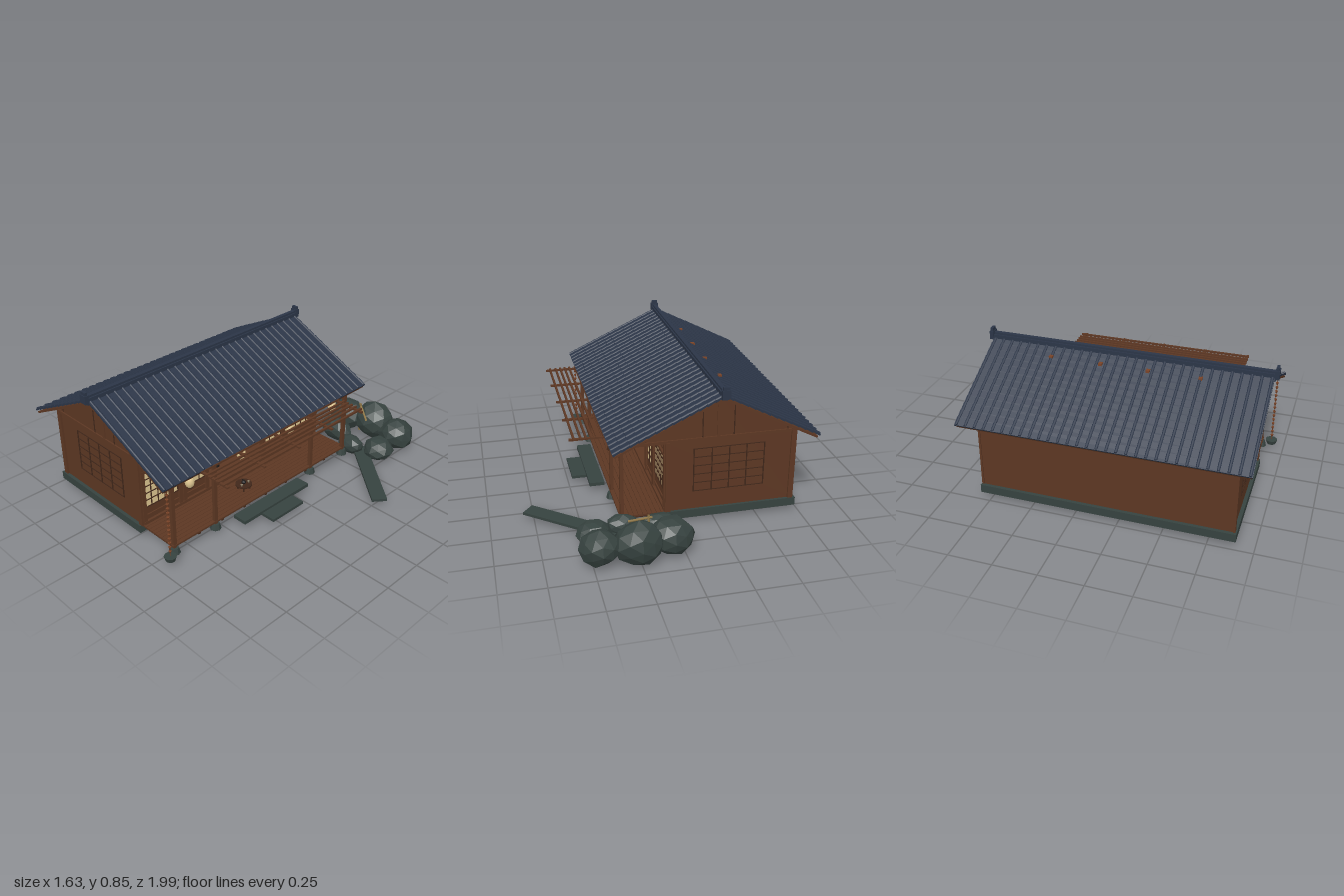
import * as THREE from 'three';
import { mergeGeometries } from 'three/addons/utils/BufferGeometryUtils.js';

const mat = (name, color, opts = {}) => Object.assign(new THREE.MeshStandardMaterial({ color, ...opts }), { name });

export function createModel() {
  const root = new THREE.Group();
  root.name = 'teaHouse';
  const wood = mat('wood', 0x5c3723), darkWood = mat('darkWood', 0x40271a), tile = mat('roofTile', 0x2b3547),
    stone = mat('stone', 0x36423f, { flatShading: true }), paper = mat('paper', 0xe0c791),
    plaster = mat('plaster', 0x8a7f68), cloth = mat('cloth', 0x2f4462), iron = mat('iron', 0x1d1b1a),
    bamboo = mat('bamboo', 0x8f7748), accent = mat('accent', 0x7a4428);

  let seed = 7;
  const rand = () => (seed = (seed * 16807) % 2147483647) / 2147483647;
  const add = (name, geo, m) => {
    const mesh = new THREE.Mesh(geo, m);
    mesh.name = name;
    root.add(mesh);
    return mesh;
  };
  const boxGeo = ([x0, x1, y0, y1, z0, z1]) =>
    new THREE.BoxGeometry(x1 - x0, y1 - y0, z1 - z0).translate((x0 + x1) / 2, (y0 + y1) / 2, (z0 + z1) / 2);
  const boxes = (name, m, list) => add(name, mergeGeometries(list.map(boxGeo)), m);
  const range = (n, f) => Array.from({ length: n }, (_, i) => f(i));
  const extrudeZ = (pts, z0, z1) => new THREE.ExtrudeGeometry(
    new THREE.Shape(pts.map(p => new THREE.Vector2(...p))), { depth: z1 - z0, bevelEnabled: false }).translate(0, 0, z0);

  // Foundation, floor and walls
  boxes('foundation', stone, [[-0.73, 0.03, 0.04, 0.088, -0.56, 0.9]]);
  boxes('interiorFloor', wood, [[-0.7, 0.04, 0.088, 0.105, -0.54, 0.87]]);
  boxes('backWall', wood, [[-0.71, -0.69, 0.088, 0.545, -0.54, 0.875]]);
  boxes('interiorWall', plaster, [[-0.36, -0.34, 0.1, 0.5, -0.53, 0.865]]);
  const gable = [[-0.71, 0.088], [0.03, 0.088], [0.03, 0.508], [0.32, 0.508], [-0.26, 0.775], [-0.71, 0.545]];
  add('frontGableWall', extrudeZ(gable, 0.86, 0.88), wood);
  add('rearGableWall', extrudeZ(gable, -0.545, -0.525), wood);

  // Timber framing and lattice windows on both gables
  for (const [side, z, s] of [['front', 0.88, 1], ['rear', -0.545, -1]]) {
    const bar = (x0, x1, y0, y1, t) => [x0, x1, y0, y1, Math.min(z, z + s * t), Math.max(z, z + s * t)];
    boxes(side + 'GableTimbers', wood, [
      bar(-0.715, -0.685, 0.088, 0.53, 0.012), bar(0.01, 0.04, 0.088, 0.515, 0.012),
      bar(-0.69, 0.3, 0.508, 0.526, 0.008), bar(-0.27, -0.25, 0.52, 0.76, 0.006)]);
    boxes(side + 'GableSeams', darkWood, [
      bar(-0.352, -0.346, 0.526, 0.72, 0.003), bar(-0.173, -0.167, 0.526, 0.725, 0.003),
      bar(-0.663, -0.659, 0.526, 0.565, 0.003), bar(0.147, 0.151, 0.526, 0.58, 0.003)]);
    boxes(side + 'WindowLattice', darkWood, [
      ...[-0.533, -0.43, -0.33, -0.23, -0.126].map(x => bar(x, x + 0.006, 0.2, 0.46, 0.005)),
      ...range(6, i => bar(-0.533, -0.12, 0.197 + i * 0.052, 0.201 + i * 0.052, 0.004))]);
  }

  // Roof: wooden deck below, tiled slopes above
  const ridgeX = -0.26, ridgeY = 0.785, zA = -0.64, zB = 0.968;
  add('roofBoards', extrudeZ([[-0.8, 0.495], [-0.26, 0.77], [0.335, 0.495], [0.338, 0.505],
    [-0.26, 0.786], [-0.805, 0.505]], zA + 0.005, zB - 0.005), wood);
  for (const [side, eaveX, eaveY] of [['left', 0.34, 0.508], ['right', -0.81, 0.508]]) {
    const dx = eaveX - ridgeX, dy = eaveY - ridgeY, len = Math.hypot(dx, dy), rows = 13, cols = 31;
    const step = len / rows, parts = [];
    for (let r = 0; r < rows; r++) {
      // each course is tipped a little so its lower edge overlaps the next
      parts.push(new THREE.BoxGeometry(step * 1.12, 0.01, zB - zA).rotateZ(-0.1).translate((r + 0.5) * step, 0.009, (zA + zB) / 2));
      for (let c = 0; c < cols; c++) {
        parts.push(new THREE.CylinderGeometry(0.01, 0.0075, step * 1.02, 6, 1, false, 0, Math.PI)
          .rotateZ(Math.PI / 2).rotateX(0)
          .translate((r + 0.5) * step, 0.012, zA + 0.012 + c * (zB - zA - 0.024) / (cols - 1)));
      }
    }
    const slope = mergeGeometries(parts);
    if (dx < 0) slope.rotateY(Math.PI).translate(0, 0, zA + zB);
    slope.rotateZ(dx > 0 ? Math.atan2(dy, dx) : -Math.atan2(dy, -dx)).translate(ridgeX, ridgeY, 0);
    add(side + 'RoofTiles', slope, tile);
  }
  boxes('ridge', tile, [[-0.28, -0.24, 0.775, 0.815, -0.645, 0.975], [-0.272, -0.248, 0.815, 0.827, -0.645, 0.975]]);
  boxes('ridgeEnds', tile, [-0.65, 0.98].flatMap(z => [
    [-0.283, -0.237, 0.785, 0.835, z - 0.012, z + 0.012], [-0.278, -0.242, 0.83, 0.853, z - 0.008, z + 0.008]]));
  boxes('roofPegs', accent, [-0.26, 0.03, 0.3, 0.59].map(z => [-0.357, -0.333, 0.72, 0.768, z - 0.01, z + 0.01]));

  // Veranda: planks, joists, posts, footing stones and eave beam
  boxes('verandaPlanks', wood, range(10, i => [0.035 + i * 0.026, 0.059 + i * 0.026, 0.076, 0.087, -0.545, 0.88]));
  boxes('verandaJoists', darkWood, range(9, i => [0.03, 0.29, 0.064, 0.076, -0.535 + i * 0.174, -0.52 + i * 0.174]));
  const postZ = [0.865, 0.565, -0.225, -0.53];
  boxes('verandaPosts', wood, postZ.map(z => [0.271, 0.291, 0.06, 0.52, z - 0.011, z + 0.011]));
  boxes('eaveBeams', wood, [[0.27, 0.292, 0.49, 0.512, -0.545, 0.88],
    ...range(17, i => [0.03, 0.31, 0.5, 0.51, -0.535 + i * 0.087, -0.525 + i * 0.087])]);
  for (const z of postZ) add('footingStone', new THREE.CylinderGeometry(0.025, 0.034, 0.034, 8).translate(0.281, 0.05, z), stone);

  // Facade: frame, sliding paper screens with lattice, transom
  const bays = [[0.62, 0.855], [0.41, 0.56], [-0.225, -0.075], [-0.505, -0.27]];
  boxes('facadeFrame', wood, [
    ...[0.865, 0.605, 0.575, 0.405, -0.065, -0.24, -0.26, -0.52].map(z => [0.015, 0.043, 0.088, 0.51, z - 0.012, z + 0.012]),
    [0.015, 0.045, 0.42, 0.437, -0.54, 0.875], [0.015, 0.045, 0.495, 0.515, -0.54, 0.875],
    [0.015, 0.045, 0.088, 0.106, -0.54, 0.875]]);
  boxes('screenKickBoards', wood, bays.flatMap(([a, b]) => [[0.018, 0.03, 0.1, 0.187, a, b], [0.018, 0.037, 0.137, 0.143, a, b]]));
  boxes('screenPaper', paper, bays.map(([a, b]) => [0.02, 0.027, 0.187, 0.42, a, b]));
  boxes('screenLattice', darkWood, bays.flatMap(([a, b]) => {
    const n = Math.round((b - a) / 0.047);
    return [...range(n + 1, i => a + i * (b - a) / n).map(z => [0.025, 0.033, 0.187, 0.42, z - 0.002, z + 0.002]),
      ...range(6, i => [0.025, 0.032, 0.187 + i * 0.045, 0.191 + i * 0.045, a, b])];
  }));
  boxes('transomPanel', plaster, [[0.018, 0.024, 0.437, 0.495, -0.53, 0.865]]);
  boxes('transomLattice', wood, [
    ...range(58, i => [0.024, 0.034, 0.437, 0.495, -0.53 + i * 0.0244, -0.517 + i * 0.0244]),
    [0.024, 0.036, 0.45, 0.455, -0.53, 0.865], [0.024, 0.036, 0.475, 0.48, -0.53, 0.865]]);

  // Entrance curtain with round crests, and sign board over it
  const clothZ = range(5, i => 0.352 - i * 0.091);
  boxes('curtain', cloth, clothZ.map(z => [0.046, 0.05, 0.335, 0.425, z - 0.043, z + 0.043]));
  add('curtainCrests', mergeGeometries(clothZ.flatMap(z => [
    new THREE.TorusGeometry(0.018, 0.0025, 4, 16).rotateY(Math.PI / 2).translate(0.051, 0.38, z),
    ...range(5, k => new THREE.CylinderGeometry(0.006, 0.006, 0.002, 8).rotateZ(Math.PI / 2)
      .translate(0.052, 0.38 + 0.01 * Math.cos(k * 1.257), z + 0.01 * Math.sin(k * 1.257)))])), paper);
  boxes('signBoard', darkWood, [[0.045, 0.06, 0.45, 0.475, 0.105, 0.235], [0.042, 0.075, 0.475, 0.483, 0.09, 0.25]]);

  // Room seen through the entrance
  boxes('roomPanelSeams', darkWood, [0.36, 0.245, 0.09, -0.02].map(z => [-0.34, -0.336, 0.105, 0.42, z - 0.002, z + 0.002]));
  boxes('roomPillar', bamboo, [[-0.34, -0.328, 0.105, 0.42, 0.218, 0.228], [-0.34, -0.33, 0.185, 0.191, 0.1, 0.25]]);
  add('wallDisc', new THREE.CylinderGeometry(0.02, 0.02, 0.006, 16).rotateZ(Math.PI / 2).translate(-0.334, 0.255, 0.165), accent);
  boxes('roomTable', iron, [[-0.2, -0.06, 0.165, 0.178, -0.02, 0.23],
    ...[-0.19, -0.08].flatMap(x => [-0.01, 0.21].map(z => [x, x + 0.012, 0.105, 0.166, z, z + 0.012]))]);
  boxes('roomShelf', iron, [[-0.2, -0.1, 0.205, 0.212, 0.27, 0.37], [-0.2, -0.1, 0.15, 0.157, 0.27, 0.37],
    [-0.2, -0.19, 0.105, 0.23, 0.275, 0.285], [-0.2, -0.19, 0.105, 0.23, 0.355, 0.365]]);

  // Low tea table with pot and cups on the veranda
  const tx = 0.175, tz = 0.24;
  add('teaTable', mergeGeometries([
    new THREE.CylinderGeometry(0.05, 0.05, 0.007, 16).translate(tx, 0.12, tz),
    ...range(4, i => new THREE.CylinderGeometry(0.005, 0.005, 0.033, 6)
      .translate(tx + 0.034 * Math.cos(i * 1.571 + 0.78), 0.102, tz + 0.034 * Math.sin(i * 1.571 + 0.78)))]), darkWood);
  add('teapot', mergeGeometries([
    new THREE.SphereGeometry(0.014, 10, 8).scale(1, 0.8, 1).translate(tx, 0.133, tz),
    new THREE.TorusGeometry(0.011, 0.002, 5, 10, Math.PI).translate(tx, 0.141, tz)]), iron);
  for (const z of [-0.028, 0.028]) add('cup', new THREE.CylinderGeometry(0.007, 0.005, 0.011, 8).translate(tx + 0.012, 0.129, tz + z), plaster);

  // Hanging lanterns under the eave
  const lanternProfile = [[0, -0.034], [0.013, -0.033], [0.023, -0.02], [0.027, 0], [0.023, 0.02], [0.013, 0.033], [0, 0.034]]
    .map(p => new THREE.Vector2(...p));
  for (const z of [0.745, 0.367, -0.022, -0.4]) {
    add('lantern', new THREE.LatheGeometry(lanternProfile, 12).translate(0.288, 0.44, z), paper);
    add('lanternCaps', mergeGeometries([-0.034, 0.034].map(y =>
      new THREE.CylinderGeometry(0.014, 0.014, 0.007, 10).translate(0.288, 0.44 + y, z))), darkWood);
  }

  // Slatted awning
  boxes('awningSlats', wood, [0.345, 0.385, 0.415, 0.445, 0.475, 0.513].map(x => [x - 0.006, x + 0.006, 0.505, 0.516, -0.395, 0.715]));
  boxes('awningBeams', wood, range(5, i => [0.29, 0.54, 0.499, 0.509, -0.382 + i * 0.269, -0.366 + i * 0.269]));

  // Rain chain of small cups over a stone dish
  add('rainChain', mergeGeometries([
    new THREE.CylinderGeometry(0.002, 0.002, 0.44, 5).translate(0.318, 0.285, 0.925),
    ...range(15, i => new THREE.CylinderGeometry(0.009, 0.004, 0.014, 8).translate(0.318, 0.09 + i * 0.028, 0.925))]), accent);
  add('rainDish', new THREE.CylinderGeometry(0.036, 0.028, 0.026, 10).translate(0.318, 0.05, 0.925), stone);

  // Stepping stones and stone slab bridge
  boxes('steppingStones', stone, [[0.3, 0.39, 0.045, 0.066, -0.09, 0.44], [0.38, 0.477, 0.035, 0.052, 0.05, 0.3]]);
  add('slabBridge', new THREE.BoxGeometry(0.58, 0.016, 0.09).rotateY(-0.69).translate(0.557, 0.045, -0.467), stone);

  // Ring of boulders with a bamboo spout: x, y, z, radii
  const boulders = [[0.075, 0.12, -0.84, 0.125, 0.105, 0.105], [0.26, 0.13, -0.885, 0.135, 0.125, 0.115],
    [0.46, 0.115, -0.86, 0.11, 0.1, 0.11], [0.46, 0.085, -0.68, 0.097, 0.075, 0.09],
    [0.11, 0.085, -0.685, 0.12, 0.078, 0.07], [0.29, 0.075, -0.61, 0.1, 0.065, 0.06]];
  for (const [x, y, z, rx, ry, rz] of boulders) {
    const g = new THREE.IcosahedronGeometry(1, 1), p = g.attributes.position, seen = {}, v = new THREE.Vector3();
    for (let i = 0; i < p.count; i++) {
      v.fromBufferAttribute(p, i);
      const key = v.toArray().map(n => Math.round(n * 100)).join();
      seen[key] ??= 0.9 + rand() * 0.16;
      v.multiplyScalar(seen[key]);
      p.setXYZ(i, v.x, v.y, v.z);
    }
    g.scale(rx, ry, rz).translate(x, y, z).computeVertexNormals();
    add('boulder', g, stone);
  }
  const spout = (a, b, r) => new THREE.TubeGeometry(new THREE.LineCurve3(new THREE.Vector3(...a), new THREE.Vector3(...b)), 1, r, 8);
  const spoutMesh = add('bambooSpout', mergeGeometries([
    spout([0.18, 0.238, -0.83], [0.29, 0.185, -0.76], 0.007), spout([0.195, 0.05, -0.82], [0.195, 0.245, -0.82], 0.007)]), bamboo);
  spoutMesh.material.side = THREE.DoubleSide;
  return root;
}
